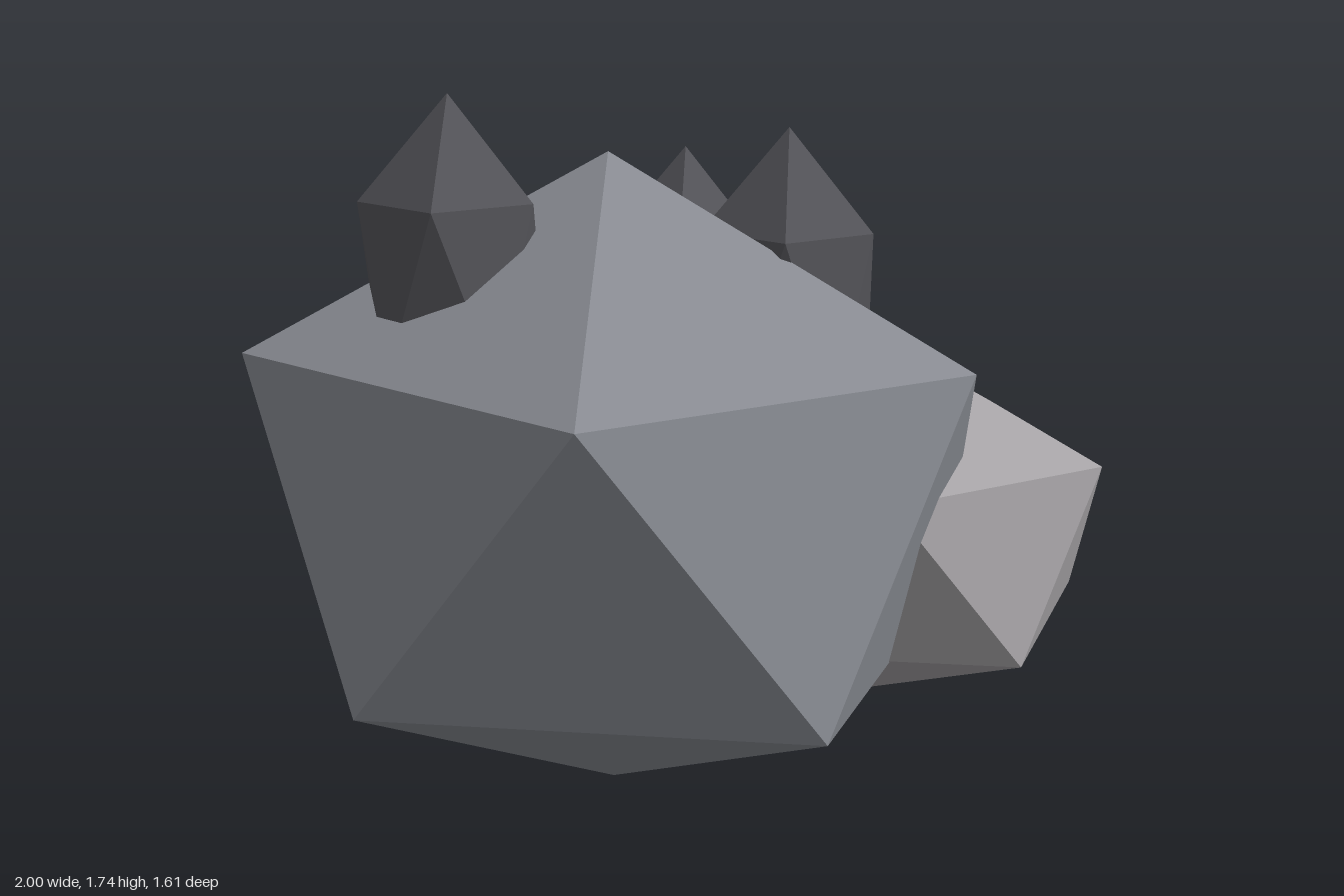
import * as THREE from 'three';

const TILT = -Math.atan(2 / (1 + Math.sqrt(5)));

// Icosahedron standing on one vertex, one upper ring vertex towards +x
function facetedStone(name, color, [rx, ry, rz], [x, y, z]) {
  const geometry = new THREE.IcosahedronGeometry(1, 0);
  geometry.rotateZ(TILT);
  geometry.scale(rx, ry, rz);
  const material = new THREE.MeshStandardMaterial({ color, flatShading: true });
  const mesh = new THREE.Mesh(geometry, material);
  mesh.name = name;
  mesh.position.set(x, y, z);
  return mesh;
}

export function createModel() {
  const group = new THREE.Group();
  group.name = 'boulderCluster';

  // Large boulder and the paler one leaning into its back left side
  group.add(facetedStone('mainBoulder', 0x8a8d94, [0.99, 0.8, 0.89], [-0.115, 0.803, 0.045]));
  group.add(facetedStone('sideBoulder', 0xa8a5a8, [0.615, 0.465, 0.565], [0.45, 0.66, -0.33]));

  // Dark, tall nuggets set into the top of the large boulder
  const nuggets = [
    [-0.4, 1.32, 0.28],
    [0.26, 1.23, -0.145],
    [-0.115, 1.135, -0.425],
  ];
  nuggets.forEach((position, i) => {
    group.add(facetedStone(`oreNugget${i + 1}`, 0x55555a, [0.235, 0.425, 0.235], position));
  });

  return group;
}
